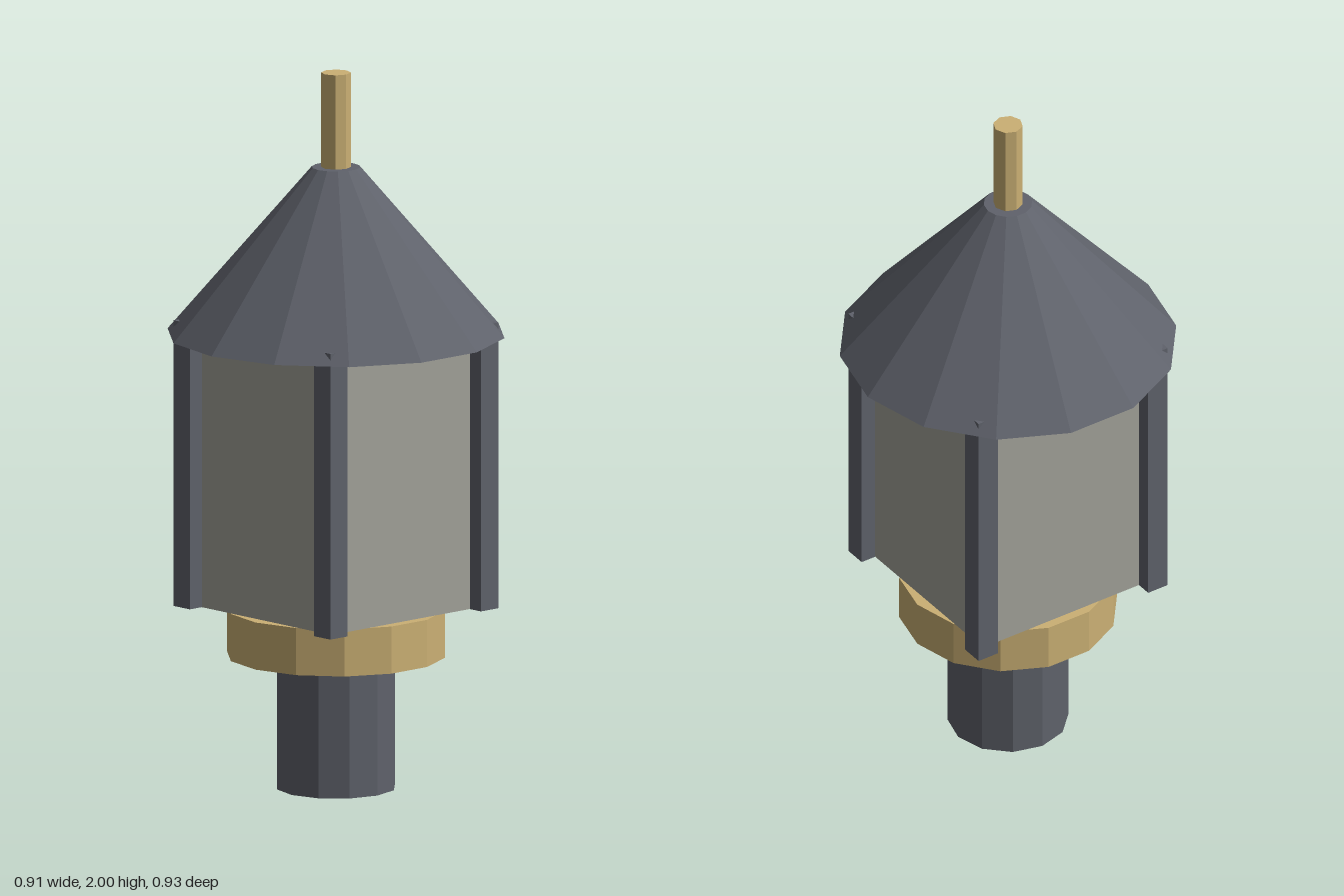
import * as THREE from 'three';

export function createModel() {
  const group = new THREE.Group();
  const mat = (name, color) => {
    const m = new THREE.MeshStandardMaterial({ color, flatShading: true });
    m.name = name;
    return m;
  };
  const iron = mat('dark iron', 0x5f626b);
  const brass = mat('brass', 0xcbb074);
  const glass = mat('frosted glass', 0xa2a299);

  const add = (name, geometry, material, x, y, z) => {
    const mesh = new THREE.Mesh(geometry, material);
    mesh.name = name;
    mesh.position.set(x, y, z);
    group.add(mesh);
  };
  // Upright faceted drum or cone between two heights
  const drum = (name, rTop, rBottom, y0, y1, sides, material) =>
    add(name, new THREE.CylinderGeometry(rTop, rBottom, y1 - y0, sides), material, 0, (y0 + y1) / 2, 0);

  drum('stem', 0.166, 0.166, 0, 0.37, 12, iron);
  drum('collar', 0.302, 0.302, 0.37, 0.502, 14, brass);

  // Square glass body
  add('glassBody', new THREE.BoxGeometry(0.54, 0.767, 0.54), glass, 0, 0.8865, 0);

  // Corner posts, whose tips just break through the roof
  for (const x of [-1, 1]) {
    for (const z of [-1, 1]) {
      add('cornerPost', new THREE.BoxGeometry(0.065, 0.8, 0.065), iron, x * 0.2825, 0.903, z * 0.2825);
    }
  }

  drum('roof', 0.067, 0.467, 1.27, 1.736, 14, iron);
  drum('finialRod', 0.041, 0.041, 1.736, 2, 8, brass);
  return group;
}
